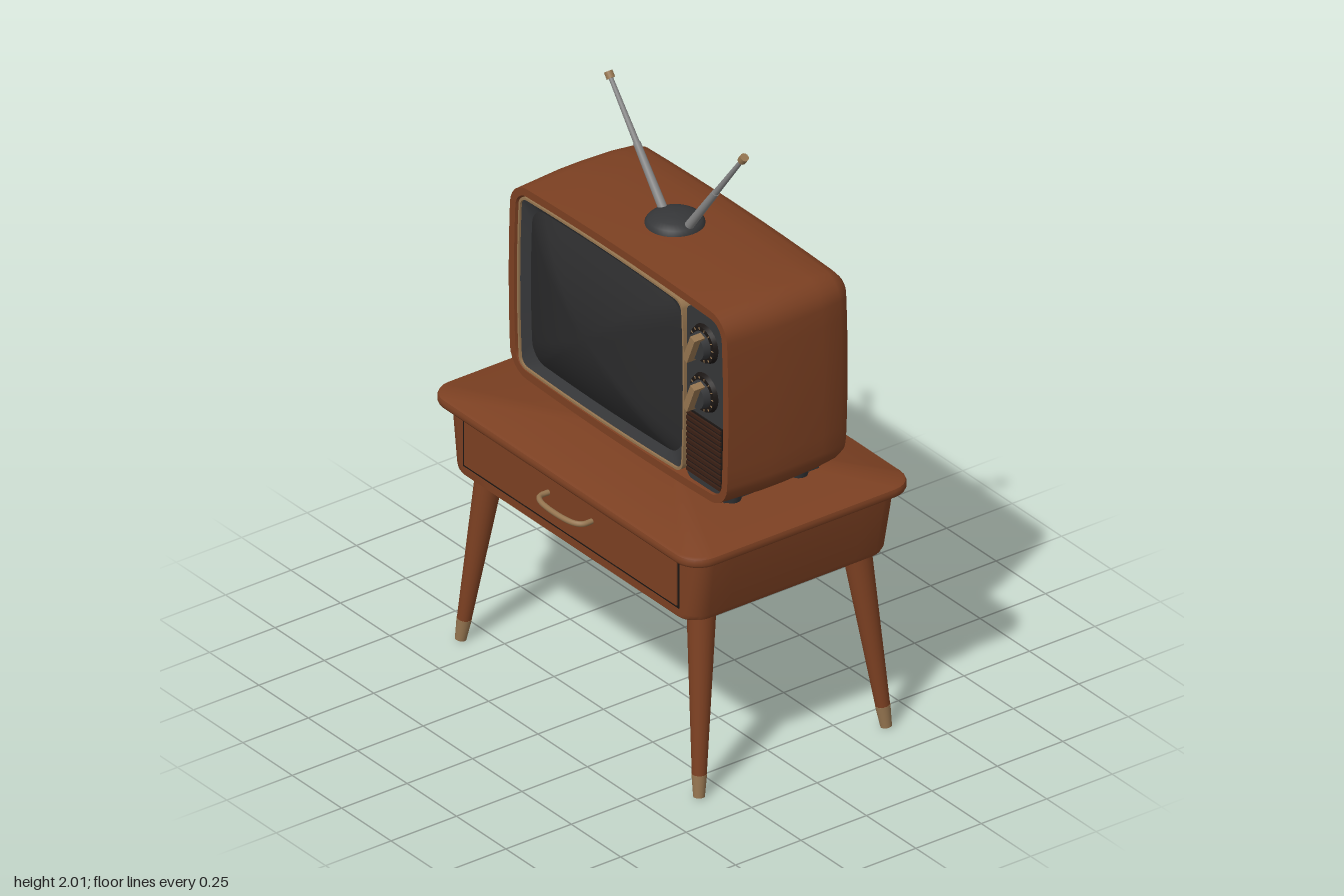
import * as THREE from 'three';
import { toCreasedNormals } from 'three/addons/utils/BufferGeometryUtils.js';

const paint = (name, color) => {
  const m = new THREE.MeshStandardMaterial({ color });
  m.name = name;
  return m;
};

// Rounded rectangle outline, half sizes w and h, sides bowed outward
function ring(w, h, r, z, { cx = 0, cy = 0, bowX = 0, bowY = 0 } = {}) {
  const corners = [];
  [[1, 1], [-1, 1], [-1, -1], [1, -1]].forEach(([sx, sy], q) => {
    for (let i = 0; i <= 6; i++) {
      const a = (q + i / 6) * Math.PI / 2;
      corners.push([sx * (w - r) + r * Math.cos(a), sy * (h - r) + r * Math.sin(a)]);
    }
  });
  const pts = [];
  corners.forEach((p, i) => {
    const n = corners[(i + 1) % corners.length];
    const steps = i % 7 === 6 ? 8 : 1;
    for (let k = 0; k < steps; k++) {
      const x = p[0] + (n[0] - p[0]) * k / steps, y = p[1] + (n[1] - p[1]) * k / steps;
      pts.push([cx + x * (1 + bowX * (1 - (y / h) ** 2)), cy + y * (1 + bowY * (1 - (x / w) ** 2)), z]);
    }
  });
  return pts;
}

// Skin over rings ordered from back to front; start and end are optional cap centres
function loft(rings, { start, end, crease = 0.7 } = {}) {
  const n = rings[0].length, pos = rings.flat(2), idx = [];
  for (let j = 0; j < rings.length - 1; j++) {
    for (let i = 0; i < n; i++) {
      const a = j * n + i, b = j * n + (i + 1) % n;
      idx.push(a, b, b + n, a, b + n, a + n);
    }
  }
  const cap = (c, base, flip) => {
    const k = pos.length / 3;
    pos.push(...c);
    for (let i = 0; i < n; i++) {
      const a = base + i, b = base + (i + 1) % n;
      idx.push(k, flip ? b : a, flip ? a : b);
    }
  };
  if (start) cap(start, 0, true);
  if (end) cap(end, (rings.length - 1) * n, false);
  const g = new THREE.BufferGeometry();
  g.setAttribute('position', new THREE.Float32BufferAttribute(pos, 3));
  g.setIndex(idx);
  return toCreasedNormals(g, crease);
}

export function createModel() {
  const wood = paint('wood', 0x7c4022);
  const charcoal = paint('charcoal', 0x353638);
  const glass = paint('screen glass', 0x2a2a2b);
  const brass = paint('brass', 0x957550);
  const steel = paint('steel', 0x858585);
  const darkWood = paint('dark wood', 0x3a2015);
  const black = paint('black', 0x1b1614);

  const model = new THREE.Group();
  const add = (name, geo, mat, x = 0, y = 0, z = 0, parent = model) => {
    const m = new THREE.Mesh(geo, mat);
    m.name = name;
    m.position.set(x, y, z);
    parent.add(m);
    return m;
  };
  const box = (w, h, d) => new THREE.BoxGeometry(w, h, d);
  // Tapered round bar between two points
  const rod = (name, a, b, ra, rb, mat) => {
    const p = new THREE.Vector3(...a), q = new THREE.Vector3(...b), d = q.clone().sub(p);
    const m = add(name, new THREE.CylinderGeometry(rb, ra, d.length(), 20), mat);
    m.position.copy(p).add(q).multiplyScalar(0.5);
    m.quaternion.setFromUnitVectors(new THREE.Vector3(0, 1, 0), d.normalize());
  };
  const mix = (a, b, t) => a.map((v, i) => v + (b[i] - v) * t);

  // Table top with softened edge
  const topRings = [[0.012, 0.838], [0.003, 0.843], [0, 0.85], [0, 0.862], [0.003, 0.87], [0.012, 0.875]]
    .map(([i, y]) => ring(0.675 - i, 0.43 - i, 0.085 - i, y, { cy: 0.012 }));
  add('tableTop', loft(topRings, { start: [0, 0, 0.838], end: [0, 0, 0.875] }).rotateX(-Math.PI / 2), wood);

  // Tapered apron
  const apronRings = [[0.6, 0.362, 0.616], [0.613, 0.374, 0.622], [0.619, 0.378, 0.638], [0.645, 0.386, 0.842]]
    .map(([w, h, y]) => ring(w, h, 0.06, y, { cy: h - 0.372 }));
  add('apron', loft(apronRings, { start: [0, 0, 0.616], end: [0, 0, 0.842] }).rotateX(-Math.PI / 2), wood);

  // Drawer and pull
  add('drawerGap', box(1.092, 0.182, 0.006), black, 0, 0.737, 0.371);
  add('drawerFront', box(1.076, 0.166, 0.012), wood, 0, 0.737, 0.371);
  const pull = new THREE.CatmullRomCurve3([[-0.11, 0.37], [-0.108, 0.41], [-0.085, 0.428], [0, 0.438],
    [0.085, 0.428], [0.108, 0.41], [0.11, 0.37]].map(([x, z]) => new THREE.Vector3(x, 0.755, z)));
  add('drawerHandle', new THREE.TubeGeometry(pull, 40, 0.009, 10), brass);

  // Splayed legs with brass tips
  for (const s of [-1, 1]) {
    for (const [zTop, zFoot] of [[0.275, 0.34], [-0.312, -0.375]]) {
      const foot = [s * 0.603, 0, zFoot], head = [s * 0.53, 0.64, zTop], joint = mix(foot, head, 0.115);
      rod('leg', joint, head, 0.023, 0.047, wood);
      rod('legTip', foot, joint, 0.018, 0.024, brass);
    }
  }

  // Cabinet shell with rounded back and recessed front
  const cx = -0.003, cy = 1.257;
  const shell = [[0.3, -0.318], [0.15, -0.313], [0.08, -0.305], [0.045, -0.294], [0.024, -0.275], [0.012, -0.245],
    [0.004, -0.17], [0, -0.05], [0, 0.03], [0.008, 0.19], [0.034, 0.19], [0.04, 0.15]]
    .map(([i, z]) => ring(0.553 - i, 0.339 - i, Math.max(0.085 - i, 0.03), z, { cx, cy, bowX: 0.02, bowY: 0.04 }));
  add('cabinet', loft(shell, { start: [cx, cy, -0.321] }), wood);
  add('frontBacking', loft([ring(0.518, 0.304, 0.05, 0.151, { cx, cy, bowX: 0.02, bowY: 0.04 })],
    { end: [cx, cy, 0.151] }), charcoal);

  // Screen surround, brass trim and domed glass
  const sx = -0.098, sy = 1.253;
  const bow = { cx: sx, cy: sy, bowX: 0.025, bowY: 0.03 };
  add('screenSurround', loft([ring(0.41, 0.298, 0.03, 0.15, bow), ring(0.41, 0.298, 0.03, 0.182, bow),
    ring(0.372, 0.263, 0.06, 0.16, bow)]), charcoal);
  add('screenTrim', loft([ring(0.413, 0.301, 0.033, 0.15, bow), ring(0.413, 0.301, 0.033, 0.187, bow),
    ring(0.406, 0.294, 0.03, 0.187, bow), ring(0.406, 0.294, 0.03, 0.175, bow)]), brass);
  const dome = [];
  for (let i = 0; i < 10; i++) {
    const s = 1 - i / 10;
    dome.push(ring(0.376 * s, 0.267 * s, 0.06 * s, 0.162 + 0.088 * (1 - s * s), bow));
  }
  add('screen', loft(dome, { end: [sx, sy, 0.25], crease: 1.2 }), glass);

  // Control panel
  const panel = { cx: 0.424, cy: 1.253 };
  add('controlPanel', loft([ring(0.094, 0.303, 0.025, 0.15, panel), ring(0.094, 0.303, 0.025, 0.18, panel)],
    { end: [0.424, 1.253, 0.18] }), charcoal);
  for (const y of [1.457, 1.285]) {
    const knob = new THREE.Group();
    knob.name = 'knob';
    knob.position.set(0.424, y, 0.18);
    model.add(knob);
    add('knobDial', new THREE.CylinderGeometry(0.06, 0.066, 0.016, 32).rotateX(Math.PI / 2), black, 0, 0, 0.006, knob);
    add('knobCap', new THREE.CylinderGeometry(0.042, 0.046, 0.03, 32).rotateX(Math.PI / 2), charcoal, 0, 0, 0.024, knob);
    add('knobGrip', box(0.024, 0.1, 0.04), brass, 0, 0, 0.045, knob).rotation.z = -0.4;
    for (let i = 0; i < 14; i++) {
      const a = i / 14 * Math.PI * 2;
      add('dialTick', box(0.008, 0.003, 0.004), brass, 0.054 * Math.cos(a), 0.054 * Math.sin(a), 0.014, knob).rotation.z = a;
    }
  }

  // Speaker grille
  add('grilleBack', box(0.176, 0.222, 0.006), black, 0.424, 1.083, 0.181);
  for (let i = 0; i < 11; i++) add('grilleSlat', box(0.172, 0.011, 0.012), darkWood, 0.424, 0.983 + i * 0.02, 0.184);

  // Cabinet feet on dark rails
  for (const x of [-0.435, 0.425]) {
    add('footRail', box(0.06, 0.035, 0.36), charcoal, x, 0.908, -0.05);
    for (const z of [0.08, -0.175]) add('cabinetFoot', new THREE.CylinderGeometry(0.042, 0.028, 0.045, 20), charcoal, x, 0.897, z);
  }

  // Aerial base and rods
  const profile = [[0.093, 0], [0.093, 0.012], [0.084, 0.024], [0.062, 0.036], [0.032, 0.043], [0, 0.045]]
    .map(p => new THREE.Vector2(...p));
  add('aerialBase', new THREE.LatheGeometry(profile, 36), charcoal, -0.013, 1.6, -0.033);
  for (const [a, b] of [[[-0.07, 1.62, -0.035], [-0.352, 1.975, -0.037]], [[0.05, 1.62, -0.035], [0.33, 1.99, -0.037]]]) {
    rod('aerialLower', a, mix(a, b, 0.5), 0.015, 0.012, steel);
    rod('aerialUpper', mix(a, b, 0.5), b, 0.01, 0.007, steel);
    rod('aerialTip', mix(a, b, 0.965), mix(a, b, 1.015), 0.014, 0.014, brass);
  }
  return model;
}
